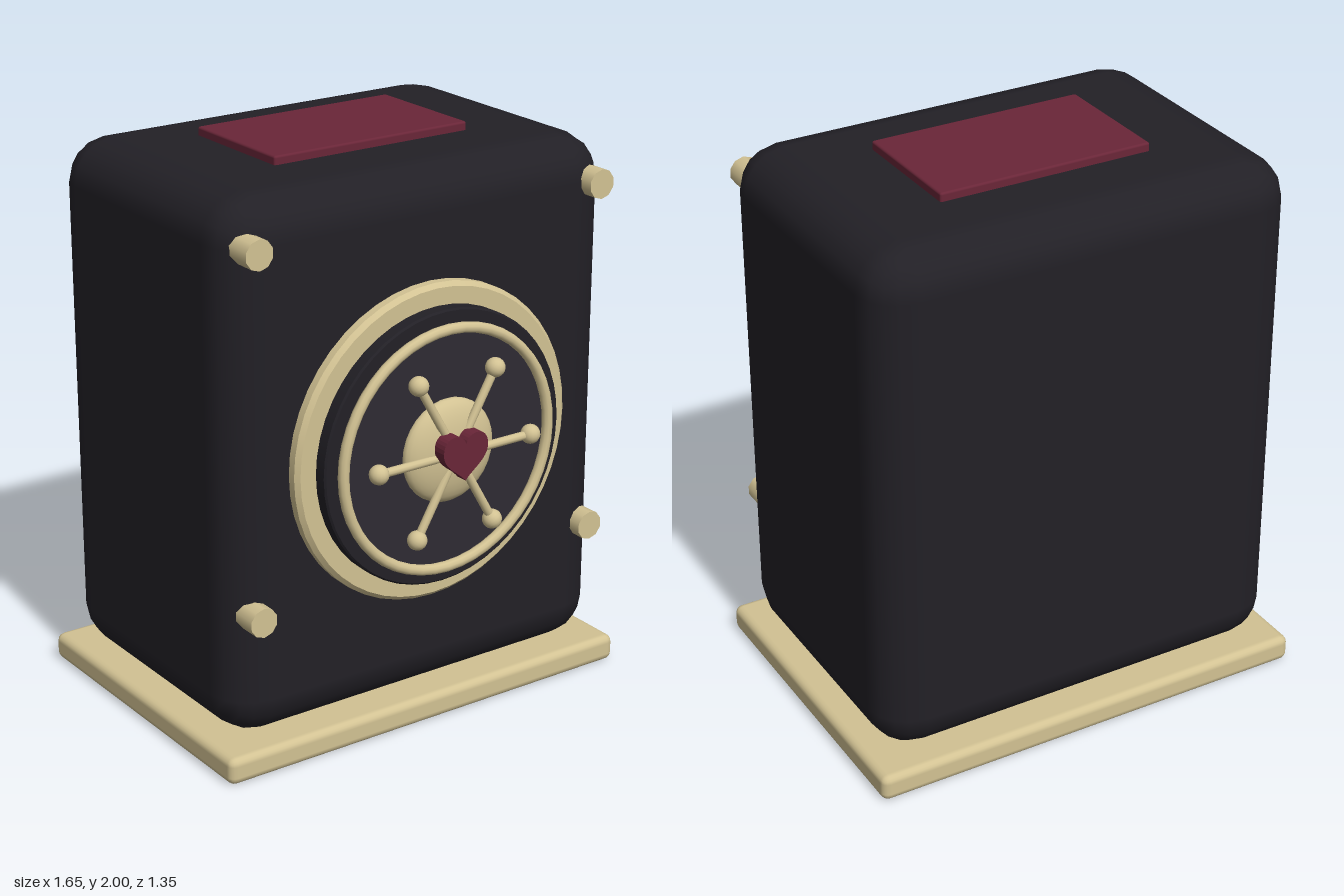
import * as THREE from 'three';
import { RoundedBoxGeometry } from 'three/addons/geometries/RoundedBoxGeometry.js';

const mat = (color) => new THREE.MeshStandardMaterial({ color });
const gold = mat(0xd2c293);
const dark = mat(0x222026);
const dialDark = mat(0x2e2b33);
const red = mat(0x6a2638);

export function createModel() {
  const root = new THREE.Group();

  const add = (parent, name, geometry, material, x = 0, y = 0, z = 0) => {
    const mesh = new THREE.Mesh(geometry, material);
    mesh.name = name;
    mesh.position.set(x, y, z);
    parent.add(mesh);
    return mesh;
  };

  // Rounded box given by its limits
  const slab = (name, material, hx, y0, y1, z0, z1, radius) =>
    add(root, name, new RoundedBoxGeometry(hx * 2, y1 - y0, z1 - z0, 2, radius),
      material, 0, (y0 + y1) / 2, (z0 + z1) / 2);

  // Disc facing +z with a bevelled front edge
  const disc = (r, z0, z1, bevel, segments = 48) => {
    const pts = [[0, z0], [r, z0], [r, z0], [r, z1 - bevel], [r, z1 - bevel],
      [r - bevel, z1], [r - bevel, z1], [0, z1]];
    return new THREE.LatheGeometry(pts.map(([a, b]) => new THREE.Vector2(a, b)), segments)
      .rotateX(Math.PI / 2);
  };

  slab('body', dark, 0.78, 0.095, 1.97, -0.63, 0.465, 0.155);
  slab('basePlate', gold, 0.825, 0, 0.097, -0.675, 0.51, 0.028);
  slab('topPlaque', red, 0.39, 1.955, 2, -0.32, 0.147, 0.008);

  // Corner bolts
  const boltGeo = new THREE.CylinderGeometry(0.052, 0.052, 0.17, 10).rotateX(Math.PI / 2);
  for (const x of [-0.688, 0.688])
    for (const y of [0.565, 1.815]) add(root, 'bolt', boltGeo, gold, x, y, 0.425);

  // Dial: stacked discs and a thin ring
  const dial = new THREE.Group();
  dial.name = 'dial';
  dial.position.y = 1.035;
  root.add(dial);
  add(dial, 'dialRim', disc(0.558, 0.44, 0.51, 0.015), gold);
  add(dial, 'dialPlate', disc(0.483, 0.5, 0.56, 0.006), dark);
  add(dial, 'dialFace', disc(0.425, 0.55, 0.568, 0.002), dialDark);
  add(dial, 'dialRing', new THREE.TorusGeometry(0.422, 0.019, 10, 48), gold, 0, 0, 0.578);

  // Domed hub
  const hub = add(dial, 'hub', new THREE.SphereGeometry(0.182, 32, 16), gold, 0, 0, 0.575);
  hub.scale.z = 0.33;

  // Six spokes with ball handles
  const reach = 0.313;
  const spokeGeo = new THREE.CylinderGeometry(0.015, 0.015, reach, 10)
    .rotateZ(-Math.PI / 2).translate(reach / 2, 0, 0);
  const knobGeo = new THREE.SphereGeometry(0.034, 16, 12);
  for (let i = 0; i < 6; i++) {
    const spoke = new THREE.Group();
    spoke.name = 'spoke';
    spoke.position.z = 0.622;
    spoke.rotation.z = i * Math.PI / 3;
    add(spoke, 'spokeRod', spokeGeo, gold);
    add(spoke, 'spokeKnob', knobGeo, gold, reach);
    dial.add(spoke);
  }

  // Heart emblem on the hub
  const heart = new THREE.Shape();
  heart.moveTo(0, -0.077);
  heart.bezierCurveTo(0.03, -0.04, 0.091, -0.02, 0.091, 0.034);
  heart.bezierCurveTo(0.091, 0.1, 0.012, 0.098, 0, 0.052);
  heart.bezierCurveTo(-0.012, 0.098, -0.091, 0.1, -0.091, 0.034);
  heart.bezierCurveTo(-0.091, -0.02, -0.03, -0.04, 0, -0.077);
  const heartGeo = new THREE.ExtrudeGeometry(heart, { depth: 0.075, bevelEnabled: false, curveSegments: 12 });
  add(dial, 'heart', heartGeo, red, 0, 0, 0.6);

  return root;
}
